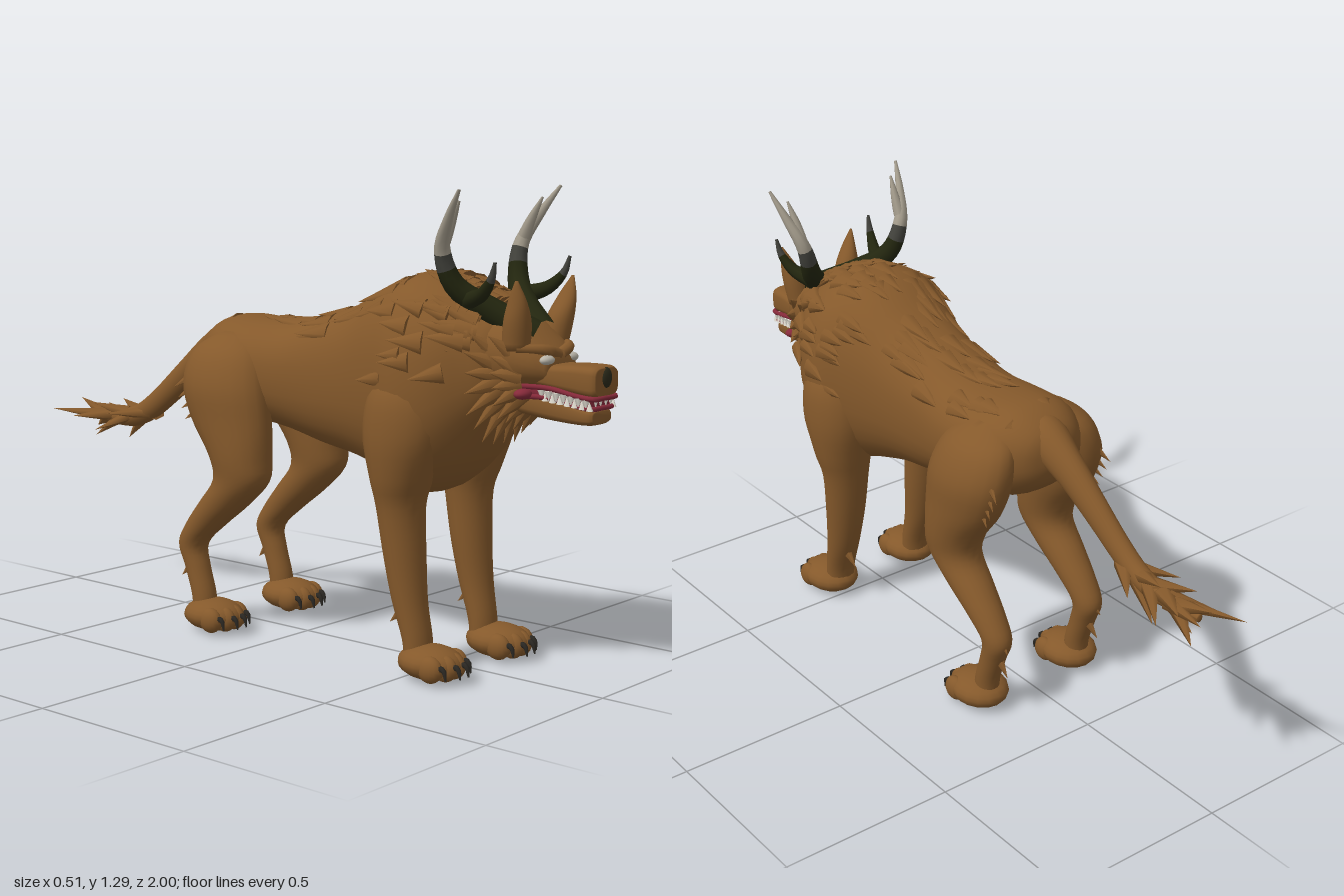
import * as THREE from 'three';
import { mergeGeometries } from 'three/addons/utils/BufferGeometryUtils.js';

const mat = (name, color) => Object.assign(new THREE.MeshStandardMaterial({ color }), { name });
const V = (x, y, z) => new THREE.Vector3(x, y, z);

// Small seeded random, 0..1
let seed = 7;
const rnd = () => (seed = (seed * 16807) % 2147483647) / 2147483647;
const range = (a, b) => a + (b - a) * rnd();

// Smooth sampler over sections [x, y, z, radiusA, radiusB]; returns a surface point
function surface(sections, axis, box = 1) {
  const c = new THREE.CatmullRomCurve3(sections.map(s => V(s[0], s[1], s[2])), false, 'catmullrom', 0.5);
  const r = new THREE.CatmullRomCurve3(sections.map(s => V(s[3], s[4], 0)), false, 'catmullrom', 0.5);
  const bend = v => Math.sign(v) * Math.abs(v) ** box;
  return (t, a) => {
    const p = c.getPoint(t), q = r.getPoint(t);
    const u = Math.max(q.x, 0.001) * bend(Math.cos(a)), v = Math.max(q.y, 0.001) * bend(Math.sin(a));
    return axis === 'z' ? p.add(V(u, v, 0)) : p.add(V(u, 0, -v));
  };
}

// Closed skin through sections that ascend along the axis
function loft(sections, axis, box = 1, sides = 20) {
  const at = surface(sections, axis, box), rows = (sections.length - 1) * 4;
  const pos = [], idx = [];
  for (let i = 0; i <= rows; i++)
    for (let j = 0; j < sides; j++) pos.push(...at(i / rows, (j / sides) * Math.PI * 2).toArray());
  for (let i = 0; i < rows; i++)
    for (let j = 0; j < sides; j++) {
      const k = (j + 1) % sides, a = i * sides + j, b = i * sides + k;
      idx.push(a, b, b + sides, a, b + sides, a + sides);
    }
  for (let j = 1; j < sides - 1; j++) {
    idx.push(0, j + 1, j);
    idx.push(rows * sides, rows * sides + j, rows * sides + j + 1);
  }
  const g = new THREE.BufferGeometry();
  g.setAttribute('position', new THREE.Float32BufferAttribute(pos, 3));
  g.setIndex(idx);
  g.computeVertexNormals();
  return g;
}

// Flattened pointed tuft from base to tip, thin along `up`
function spike(base, tip, w, thin, up = V(0, 1, 0), sides = 6) {
  const dir = tip.clone().sub(base), len = dir.length();
  dir.normalize();
  const side = dir.clone().cross(up).normalize(), n = side.clone().cross(dir);
  return new THREE.ConeGeometry(1, 1, sides, 1).translate(0, 0.5, 0).applyMatrix4(
    new THREE.Matrix4().makeBasis(side.multiplyScalar(w), dir.multiplyScalar(len), n.multiplyScalar(thin)).setPosition(base));
}

// Tapered tube along a curve
function taper(points, r0, r1, n = 20, sides = 10, power = 1.3) {
  const curve = new THREE.CatmullRomCurve3(points);
  const g = new THREE.TubeGeometry(curve, n, 1, sides), p = g.attributes.position, v = V(0, 0, 0);
  for (let i = 0; i < p.count; i++) {
    const t = Math.floor(i / (sides + 1)) / n, c = curve.getPointAt(t);
    v.fromBufferAttribute(p, i).sub(c).multiplyScalar(r0 + (r1 - r0) * t ** power).add(c);
    p.setXYZ(i, v.x, v.y, v.z);
  }
  return g;
}

const ball = (x, y, z, rx, ry, rz) => new THREE.SphereGeometry(1, 16, 12).scale(rx, ry, rz).translate(x, y, z);

export function createModel() {
  seed = 7;
  const fur = mat('brownFur', 0x85592b), horn = mat('darkHorn', 0x23260f), mid = mat('greyHorn', 0x44443e);
  const pale = mat('paleHorn', 0xa69e8e), lip = mat('redGum', 0x862a3a), eye = mat('paleEye', 0xb9b4a8);
  const claw = mat('darkClaw', 0x2a2722), tooth = mat('tooth', 0xe2ded2), noseMat = mat('darkNose', 0x2b2a1a);
  const model = new THREE.Group();
  const add = (name, geo, m) => {
    const mesh = new THREE.Mesh(Array.isArray(geo) ? mergeGeometries(geo) : geo, m);
    mesh.name = name;
    model.add(mesh);
  };

  // Body
  const body = [
    [0, 0.78, -0.35, 0.03, 0.03], [0, 0.78, -0.32, 0.1, 0.085], [0, 0.77, -0.24, 0.155, 0.133],
    [0, 0.755, -0.12, 0.175, 0.145], [0, 0.745, 0, 0.165, 0.155], [0, 0.745, 0.12, 0.158, 0.185],
    [0, 0.755, 0.25, 0.17, 0.218], [0, 0.77, 0.38, 0.207, 0.27], [0, 0.765, 0.48, 0.238, 0.295],
    [0, 0.785, 0.58, 0.217, 0.25], [0, 0.815, 0.66, 0.165, 0.18], [0, 0.84, 0.72, 0.12, 0.12], [0, 0.84, 0.76, 0.04, 0.04]];
  add('body', loft(body, 'z', 0.85, 32), fur);

  // Tufts of fur lying back over the body, densest on the mane
  const at = surface(body, 'z', 0.85), tufts = [];
  const tuft = (t, a, len, lift) => {
    const p = at(t, a), n = V(Math.cos(a), Math.sin(a), 0);
    const base = p.clone().addScaledVector(n, -0.012).add(V(0, 0, 0.02));
    const tip = at(Math.max(t - len * 0.75, 0), a).addScaledVector(n, len * lift).add(V(0, -0.01, 0));
    tufts.push(spike(base, tip, len * 0.42, 0.022, n, 8));
  };
  for (let i = 0; i < 40; i++) tuft(range(0.58, 0.85), range(0.7, Math.PI - 0.7), range(0.07, 0.11), range(0.1, 0.3));
  for (let i = 0; i < 28; i++) {
    const a = range(-0.1, 0.8);
    tuft(range(0.6, 0.84), i % 2 ? a : Math.PI - a, range(0.06, 0.085), range(0.2, 0.36));
  }
  for (let i = 0; i < 24; i++) tuft(range(0.14, 0.55), range(0.6, Math.PI - 0.6), range(0.06, 0.09), range(0.08, 0.18));
  for (let i = 0; i < 14; i++) tuft(0.3 + i * 0.036, Math.PI / 2 + range(-0.25, 0.25), 0.09, 0.2);
  add('bodyFur', tufts, fur);

  // Tail and its spiky end
  add('tail', loft([[-0.01, 0.55, -0.9, 0.01, 0.012], [-0.01, 0.55, -0.76, 0.026, 0.026], [-0.01, 0.565, -0.68, 0.03, 0.034],
    [-0.01, 0.61, -0.6, 0.03, 0.044], [-0.005, 0.69, -0.5, 0.034, 0.052], [0, 0.768, -0.4, 0.042, 0.06],
    [0, 0.825, -0.3, 0.06, 0.06], [0, 0.83, -0.2, 0.04, 0.04]], 'z'), fur);
  const tailFur = [spike(V(-0.01, 0.55, -0.8), V(-0.08, 0.56, -1), 0.026, 0.022), spike(V(0, 0.55, -0.8), V(0.035, 0.565, -0.95), 0.026, 0.022)];
  for (let i = 0; i < 12; i++) {
    const a = i * 2.4 + 0.3, z = -0.61 - i * 0.02, r = 0.092 - i * 0.002;
    tailFur.push(spike(V(-0.01, 0.578 - i * 0.0025, z), V(-0.005 + Math.cos(a) * r, 0.54 + Math.sin(a) * r * 0.75, z - 0.12), 0.029, 0.024));
  }
  add('tailTuft', tailFur, fur);

  // Legs, paws and claws
  const paw = (name, x, z) => {
    const parts = [ball(x, 0.046, z, 0.08, 0.046, 0.094)], claws = [];
    for (let i = 0; i < 4; i++) {
      const tx = x + (i - 1.5) * 0.036, tz = z + (i % 3 ? 0.058 : 0.038);
      parts.push(ball(tx, 0.042, tz, 0.025, 0.036, 0.038));
      claws.push(taper([V(tx, 0.05, tz + 0.024), V(tx, 0.048, tz + 0.044), V(tx, 0.02, tz + 0.052)], 0.0095, 0.002, 6, 6));
    }
    add(name, parts, fur);
    add(name + 'Claws', claws, claw);
  };
  for (const s of [1, -1]) {
    const side = s > 0 ? 'left' : 'right';
    const flip = rows => rows.map(([x, ...rest]) => [x * s, ...rest]);
    add(side + 'FrontLeg', loft(flip([
      [0.145, 0.03, 0.52, 0.045, 0.035], [0.145, 0.1, 0.515, 0.047, 0.037], [0.147, 0.2, 0.49, 0.052, 0.046],
      [0.147, 0.32, 0.472, 0.062, 0.055], [0.15, 0.45, 0.46, 0.072, 0.064], [0.155, 0.53, 0.465, 0.087, 0.085],
      [0.16, 0.65, 0.475, 0.096, 0.115], [0.145, 0.77, 0.48, 0.09, 0.1], [0.1, 0.88, 0.48, 0.03, 0.03]]), 'y'), fur);
    add(side + 'HindLeg', loft(flip([
      [0.165, 0.03, -0.25, 0.035, 0.035], [0.165, 0.1, -0.255, 0.036, 0.036], [0.165, 0.18, -0.28, 0.037, 0.038],
      [0.165, 0.245, -0.295, 0.042, 0.046], [0.165, 0.31, -0.242, 0.05, 0.065], [0.165, 0.38, -0.168, 0.06, 0.082],
      [0.165, 0.45, -0.105, 0.068, 0.09], [0.165, 0.52, -0.108, 0.078, 0.1], [0.162, 0.62, -0.145, 0.086, 0.135],
      [0.158, 0.72, -0.17, 0.09, 0.145], [0.132, 0.81, -0.18, 0.077, 0.12], [0.095, 0.865, -0.18, 0.035, 0.05]]), 'y'), fur);
    paw(side + 'FrontPaw', 0.15 * s, 0.565);
    paw(side + 'HindPaw', 0.165 * s, -0.215);
    const b = V(s, 0, 0), legFur = [
      spike(V(0.15 * s, 0.18, 0.485), V(0.15 * s, 0.13, 0.425), 0.022, 0.022, b), spike(V(0.16 * s, 0.2, -0.28), V(0.165 * s, 0.14, -0.345), 0.026, 0.022, b),
      spike(V(0.16 * s, 0.26, -0.3), V(0.17 * s, 0.22, -0.35), 0.022, 0.02, b)];
    for (let i = 0; i < 4; i++)
      legFur.push(spike(V(0.17 * s, 0.76 - i * 0.03, -0.24 + i * 0.01), V(0.2 * s, 0.7 - i * 0.03, -0.335 + i * 0.014), 0.026, 0.022, b));
    add(side + 'LegFur', legFur, fur);
  }

  // Head, muzzle and jaw with a mouth line that rises towards the cheeks
  add('head', loft([[0, 0.85, 0.6, 0.09, 0.09], [0, 0.865, 0.68, 0.125, 0.105], [0, 0.86, 0.76, 0.122, 0.092],
    [0, 0.845, 0.82, 0.1, 0.06], [0, 0.83, 0.86, 0.062, 0.034]], 'z', 0.9, 24), fur);
  add('muzzle', loft([[0, 0.822, 0.77, 0.08, 0.026], [0, 0.816, 0.85, 0.066, 0.03], [0, 0.813, 0.92, 0.06, 0.037],
    [0, 0.81, 0.975, 0.058, 0.04], [0, 0.81, 0.992, 0.05, 0.034]], 'z', 0.5, 28), fur);
  add('jaw', loft([[0, 0.752, 0.75, 0.08, 0.036], [0, 0.739, 0.84, 0.062, 0.036], [0, 0.726, 0.92, 0.055, 0.028],
    [0, 0.721, 0.965, 0.051, 0.022], [0, 0.72, 0.98, 0.041, 0.015]], 'z', 0.6, 28), fur);
  add('gums', loft([[0, 0.78, 0.77, 0.075, 0.02], [0, 0.775, 0.85, 0.054, 0.02], [0, 0.758, 0.92, 0.047, 0.02],
    [0, 0.753, 0.972, 0.043, 0.02]], 'z', 0.5, 24), lip);
  const lipLine = (y, w, z) => taper([[-1.75, 0.022, 0.785], [-1.12, 0.018, 0.86], [-1, 0.004, 0.94], [-0.9, 0, z], [0, 0, z + 0.004],
    [0.9, 0, z], [1, 0.004, 0.94], [1.12, 0.018, 0.86], [1.75, 0.022, 0.785]].map(p => V(p[0] * w, y + p[1], p[2])), 0.0068, 0.0068, 48, 8);
  add('lips', [lipLine(0.77, 0.056, 0.986), lipLine(0.744, 0.051, 0.977)], lip);
  const teeth = [];
  for (const s of [1, -1]) {
    for (let i = 0; i < 7; i++) {
      const z = 0.84 + i * 0.021, y = 0.783 - i * 0.0025, x = 0.064 - i * 0.0016;
      teeth.push(spike(V(x * s, y, z), V(x * s, y - 0.026, z), 0.012, 0.007, V(s, 0, 0)));
      teeth.push(spike(V((x - 0.002) * s, y - 0.028, z + 0.0105), V(x * s, y - 0.004, z + 0.0105), 0.01, 0.007, V(s, 0, 0)));
    }
    for (const x of [0.012, 0.034]) teeth.push(spike(V(x * s, 0.766, 0.982), V(x * s, 0.745, 0.982), 0.007, 0.006, V(0, 0, 1)));
  }
  add('teeth', teeth, tooth);
  add('nose', ball(0, 0.82, 0.988, 0.023, 0.027, 0.011), noseMat);

  for (const s of [1, -1]) {
    const side = s > 0 ? 'left' : 'right', P = (x, y, z) => V(x * s, y, z);
    // Mouth corner, eye, brow and ear
    add(side + 'MouthCorner', ball(0.095 * s, 0.772, 0.805, 0.029, 0.014, 0.02), lip);
    add(side + 'Eye', ball(0.053 * s, 0.857, 0.848, 0.026, 0.013, 0.016).rotateZ(0), eye);
    add(side + 'Brow', taper([P(0.004, 0.868, 0.848), P(0.05, 0.882, 0.843), P(0.108, 0.886, 0.79)], 0.016, 0.011, 8, 8), fur);
    add(side + 'Ear', loft([[0.085 * s, 0.88, 0.775, 0.036, 0.036], [0.095 * s, 0.95, 0.785, 0.036, 0.036],
      [0.11 * s, 1.005, 0.795, 0.02, 0.026], [0.125 * s, 1.058, 0.802, 0.003, 0.004]], 'y'), fur);

    // Antler with a coloured main beam, a front tine and a forked end
    const beam = taper([P(0.02, 0.915, 0.785), P(0.08, 0.975, 0.69), P(0.14, 1.04, 0.62), P(0.172, 1.13, 0.605),
      P(0.2, 1.21, 0.645), P(0.222, 1.285, 0.695)], 0.039, 0.004, 24, 10, 1.5);
    beam.clearGroups();
    [[0, 13, 0], [13, 2, 1], [15, 9, 2]].forEach(([from, n, m]) => beam.addGroup(from * 60, n * 60, m));
    add(side + 'Antler', beam, [horn, mid, pale]);
    const tine = taper([P(0.12, 1.0, 0.65), P(0.145, 1.02, 0.71), P(0.16, 1.06, 0.75), P(0.165, 1.105, 0.765)], 0.024, 0.004, 10, 8);
    tine.clearGroups();
    tine.addGroup(0, 7 * 48, 0);
    tine.addGroup(7 * 48, 3 * 48, 1);
    add(side + 'AntlerTine', tine, [horn, mid]);
    add(side + 'AntlerFork', taper([P(0.175, 1.15, 0.612), P(0.176, 1.2, 0.636), P(0.182, 1.255, 0.665)], 0.018, 0.003, 8, 8), pale);
  }

  // Ruff of spikes around the cheeks and throat
  const ruff = [];
  for (let ring = 0; ring < 3; ring++)
    for (let i = 0; i < 17; i++) {
      const a = Math.PI * (0.85 + (i / 16) * 1.3), c = Math.cos(a), d = Math.sin(a), z = 0.785 - ring * 0.055;
      const r = 0.152 + ring * 0.025 + range(-0.015, 0.02);
      ruff.push(spike(V(c * 0.085, 0.82 + d * 0.075, z), V(c * r, 0.83 + d * r * 1.15, z - 0.05), 0.034, 0.026, V(0, 0, 1), 8));
    }
  add('neckRuff', ruff, fur);
  return model;
}
